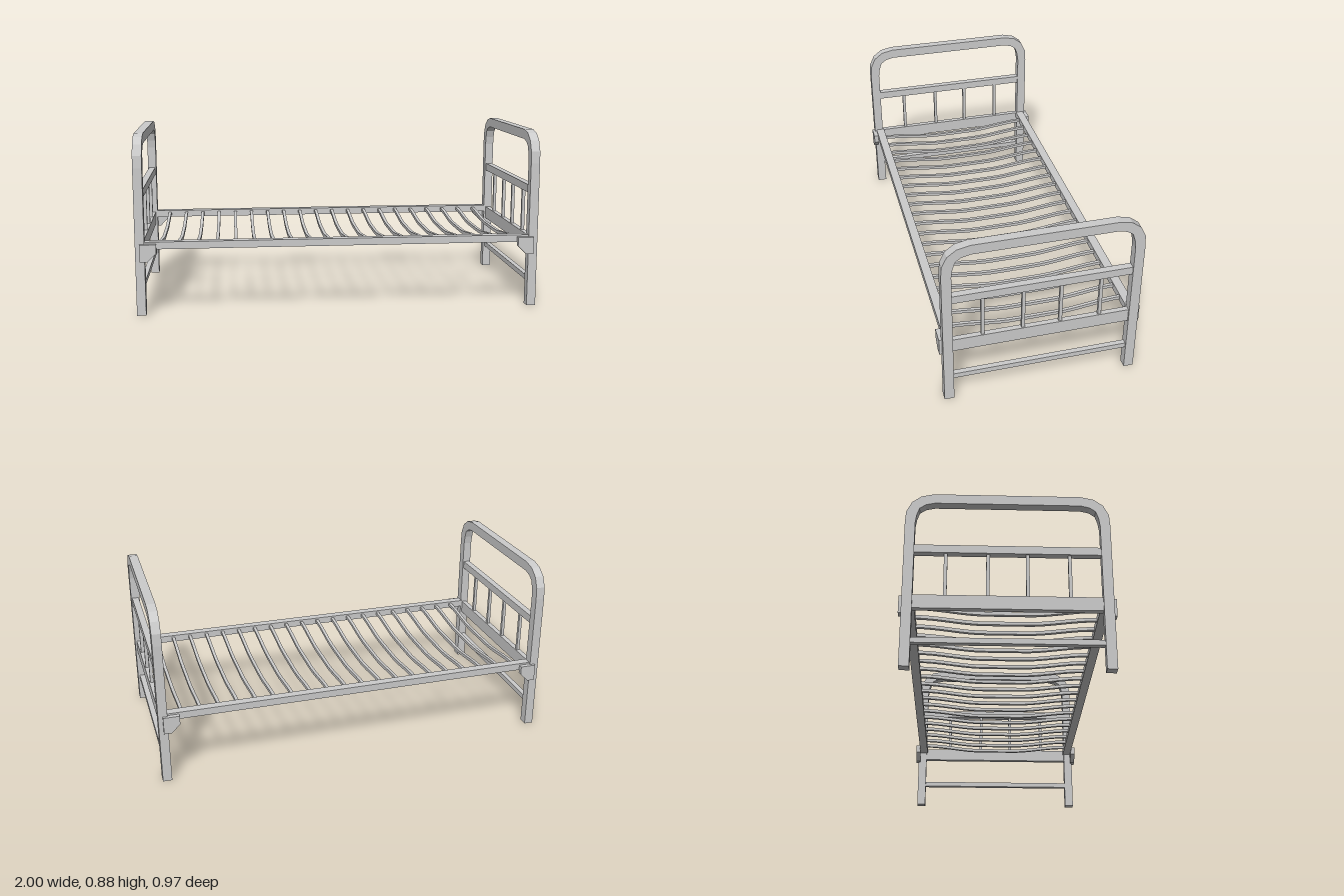
import * as THREE from 'three';

const material = new THREE.MeshStandardMaterial({ color: 0xcccccc, flatShading: true });

function add(parent, name, geometry, x, y, z) {
  const mesh = new THREE.Mesh(geometry, material);
  mesh.name = name;
  mesh.position.set(x, y, z);
  parent.add(mesh);
  return mesh;
}

function box(parent, name, w, h, d, x, y, z) {
  return add(parent, name, new THREE.BoxGeometry(w, h, d), x, y, z);
}

// Extrude an outline, centred on its thickness
function slab(points, depth) {
  const shape = new THREE.Shape(points.map(([x, y]) => new THREE.Vector2(x, y)));
  return new THREE.ExtrudeGeometry(shape, { depth, bevelEnabled: false }).translate(0, 0, -depth / 2);
}

// Same, for an outline given as (z, y) and extruded along x
const sideSlab = (points, depth) => slab(points, depth).rotateY(-Math.PI / 2);

const mirror = (points) => points.map(([x, y]) => [-x, y]).reverse();

// Bent frame: two posts joined by a rounded top
function archGeometry() {
  const outer = [[0.473, 0], [0.473, 0.727], [0.469, 0.787], [0.444, 0.839], [0.4, 0.872], [0.34, 0.885]];
  const inner = [[0.426, 0], [0.426, 0.727], [0.42, 0.769], [0.408, 0.806], [0.38, 0.826], [0.338, 0.836]];
  return sideSlab([...outer, ...mirror(outer), ...mirror(inner).reverse(), ...inner.slice().reverse()], 0.045);
}

function endFrame(name, x) {
  const group = new THREE.Group();
  group.name = name;
  group.position.x = x;
  add(group, 'archFrame', archGeometry(), 0, 0, 0);
  box(group, 'upperRail', 0.034, 0.04, 0.86, 0, 0.593, 0);
  box(group, 'endPanel', 0.026, 0.067, 0.86, 0, 0.322, 0);
  box(group, 'lowerBar', 0.026, 0.026, 0.86, 0, 0.131, 0);
  for (const z of [-0.282, -0.09, 0.09, 0.282]) {
    box(group, 'spindle', 0.016, 0.23, 0.016, 0, 0.465, z);
  }
  return group;
}

// Slat that dips from the side rails to a flat middle
function slatGeometry() {
  const half = 0.008, steps = 20, top = [], bottom = [];
  for (let i = 0; i <= steps; i++) {
    const z = -0.43 + (0.86 * i) / steps;
    const y = 0.32 + 0.028 * THREE.MathUtils.smoothstep(Math.abs(z), 0.1, 0.42);
    bottom.push([z, y - half]);
    top.unshift([z, y + half]);
  }
  return sideSlab([...bottom, ...top], 0.016);
}

export function createModel() {
  const bed = new THREE.Group();
  bed.name = 'bed';

  bed.add(endFrame('headboard', -0.9775), endFrame('footboard', 0.9775));

  // Side rails and the corner brackets that fix them to the posts
  const bracket = [[0.978, 0.356], [0.898, 0.356], [0.898, 0.312], [0.94, 0.27], [0.978, 0.27]];
  for (const side of [-1, 1]) {
    box(bed, 'sideRail', 1.92, 0.036, 0.044, 0, 0.347, side * 0.442);
    for (const end of [-1, 1]) {
      const outline = end > 0 ? bracket : mirror(bracket);
      add(bed, 'cornerBracket', slab(outline, 0.024), 0, 0, side * 0.475);
    }
  }

  // Sagging slats
  const slat = slatGeometry();
  const count = 20;
  for (let i = 0; i < count; i++) {
    add(bed, 'slat', slat, -0.882 + (1.764 * i) / (count - 1), 0, 0);
  }
  return bed;
}
